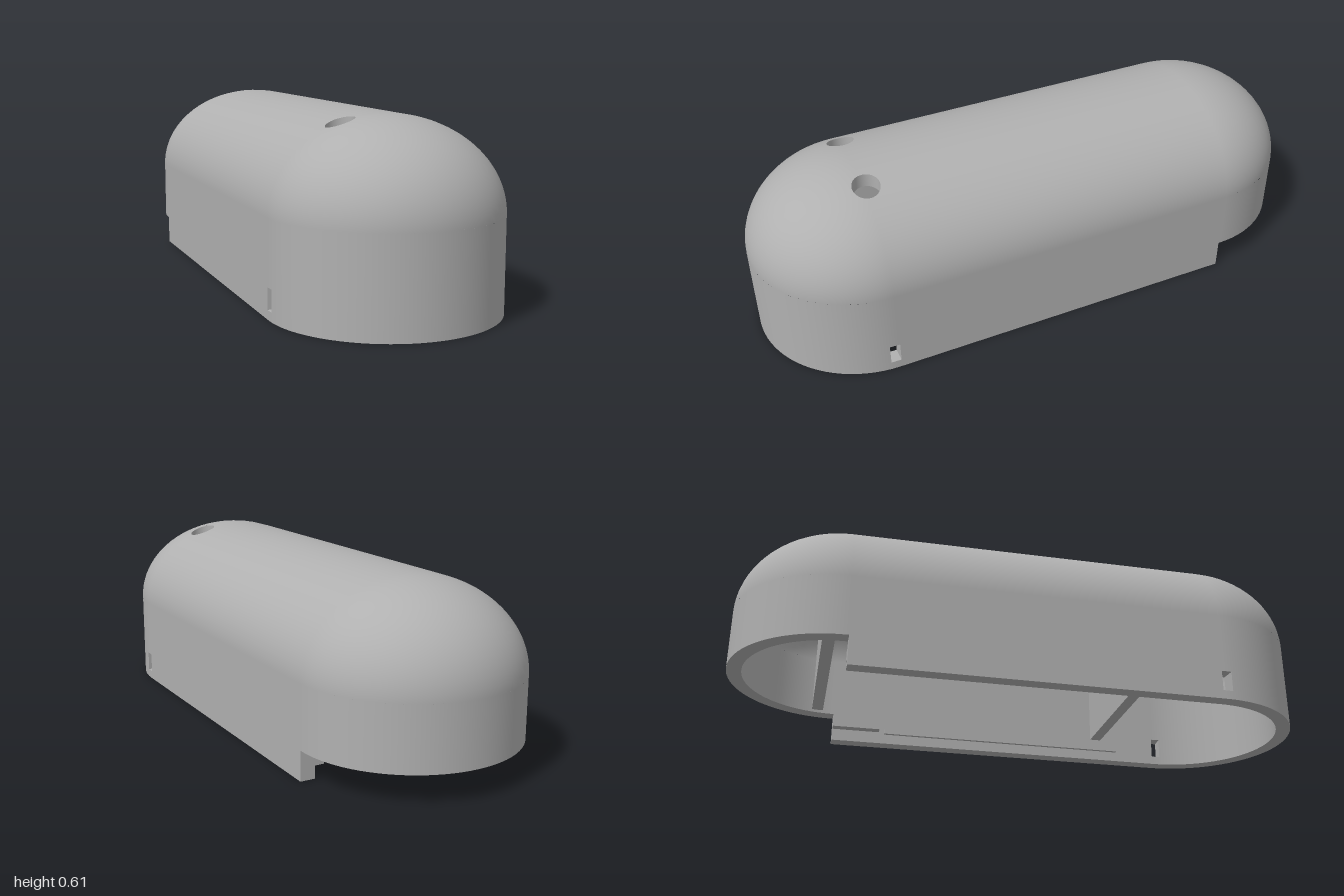
import * as THREE from 'three';

const R = 0.375, H = 0.30;      // outer radius and dome height
const RI = 0.325, HI = 0.255;   // inner radius and dome height
const Y0 = 0.31, C = 0.625;     // wall top, centre of the round ends
const HOLES = [-0.14, 0.14], HOLE_Z = 0.615, HOLE_R = 0.046;
const NOTCH_Z = -0.62, NOTCH_Y = 0.1;

const V = (x, y, z) => new THREE.Vector3(x, y, z);

// Collects quads with smooth normals; corners are ordered to agree with the normals
class Quads {
  constructor() { this.pos = []; this.nor = []; }
  tri(p, n) {
    const face = p[1].clone().sub(p[0]).cross(p[2].clone().sub(p[0]));
    if (face.length() < 1e-10) return;
    const sum = n[0].clone().add(n[1]).add(n[2]);
    const order = face.dot(sum) < 0 ? [0, 2, 1] : [0, 1, 2];
    for (const i of order) {
      this.pos.push(...p[i].toArray());
      this.nor.push(...n[i].toArray());
    }
  }
  quad(p, n) {
    const m = Array.isArray(n) ? n : [n, n, n, n];
    this.tri([p[0], p[1], p[2]], [m[0], m[1], m[2]]);
    this.tri([p[0], p[2], p[3]], [m[0], m[2], m[3]]);
  }
  geometry() {
    const g = new THREE.BufferGeometry();
    g.setAttribute('position', new THREE.Float32BufferAttribute(this.pos, 3));
    g.setAttribute('normal', new THREE.Float32BufferAttribute(this.nor, 3));
    return g;
  }
}

const offEnd = z => z - THREE.MathUtils.clamp(z, -C, C);
const domeY = (x, z, r, h) => Y0 + h * Math.sqrt(Math.max(0, 1 - (x * x + offEnd(z) ** 2) / (r * r)));
const domeNormal = (p, r, h, side) =>
  V(p.x / (r * r), (p.y - Y0) / (h * h), offEnd(p.z) / (r * r)).normalize().multiplyScalar(side);

// Rounded roof skin with two round openings (side 1 = outside, -1 = inside)
function domeSkin(r, h, side) {
  const q = new Quads(), rows = [], cols = 36, caps = 16;
  for (let i = 0; i < caps; i++) rows.push([-C, -Math.PI / 2 * (1 - i / caps)]);
  for (const z of [-C, -0.3, 0, 0.3, 0.48, 0.55]) rows.push([z, 0]);
  for (let i = 0; i <= caps; i++) rows.push([C, Math.PI / 2 * i / caps]);
  const grid = rows.map(([z, psi]) => Array.from({ length: cols + 1 }, (_, i) => {
    const phi = Math.PI * (i / cols - 0.5);
    return V(r * Math.sin(phi), Y0 + h * Math.cos(phi) * Math.cos(psi), z + r * Math.cos(phi) * Math.sin(psi));
  }));
  const add = pts => q.quad(pts, pts.map(p => domeNormal(p, r, h, side)));
  const mid = cols / 2;
  const blocks = HOLES.map(hx => {
    const m = HOLE_R * 1.12;
    let i0 = 0, i1 = cols, j0 = 0, j1 = rows.length - 1;
    while (grid[caps][i0 + 1].x < hx - m) i0++;
    while (grid[caps][i1 - 1].x > hx + m) i1--;
    const near = hx > 0 ? Math.min(i1, cols) : Math.max(i0, 0);
    while (grid[j0 + 1][mid].z < HOLE_Z - m) j0++;
    while (grid[j1 - 1][near].z > HOLE_Z + m) j1--;
    return { hx, i0, i1, j0, j1 };
  });
  for (let j = 0; j < rows.length - 1; j++) for (let i = 0; i < cols; i++) {
    if (blocks.some(b => i >= b.i0 && i < b.i1 && j >= b.j0 && j < b.j1)) continue;
    add([grid[j][i], grid[j][i + 1], grid[j + 1][i + 1], grid[j + 1][i]]);
  }
  // Fill between each removed block and its round opening
  for (const { hx, i0, i1, j0, j1 } of blocks) {
    const loop = [];
    for (let i = i0; i < i1; i++) loop.push(grid[j0][i]);
    for (let j = j0; j < j1; j++) loop.push(grid[j][i1]);
    for (let i = i1; i > i0; i--) loop.push(grid[j1][i]);
    for (let j = j1; j > j0; j--) loop.push(grid[j][i0]);
    const fine = [];
    loop.forEach((p, k) => {
      const next = loop[(k + 1) % loop.length];
      for (let s = 0; s < 4; s++) fine.push(p.clone().lerp(next, s / 4));
    });
    const ring = fine.map(p => {
      const a = Math.atan2(p.z - HOLE_Z, p.x - hx);
      const x = hx + HOLE_R * Math.cos(a), z = HOLE_Z + HOLE_R * Math.sin(a);
      return V(x, domeY(x, z, r, h), z);
    });
    fine.forEach((p, k) => {
      const n = (k + 1) % fine.length;
      add([p, fine[n], ring[n], ring[k]]);
    });
  }
  return q.geometry();
}

// Bore through the roof thickness
function boreGeometry(hx) {
  const q = new Quads(), n = 40;
  const at = (k, r, h) => {
    const a = k / n * Math.PI * 2, x = hx + HOLE_R * Math.cos(a), z = HOLE_Z + HOLE_R * Math.sin(a);
    return V(x, domeY(x, z, r, h), z);
  };
  const nor = k => V(-Math.cos(k / n * Math.PI * 2), 0, -Math.sin(k / n * Math.PI * 2));
  for (let k = 0; k < n; k++)
    q.quad([at(k, R, H), at(k + 1, R, H), at(k + 1, RI, HI), at(k, RI, HI)], [nor(k), nor(k + 1), nor(k + 1), nor(k)]);
  return q.geometry();
}

// Half of the upright wall, with the rear step and the side slot
function wallGeometry(m) {
  const q = new Quads(), st = [], steps = 20, slotA = Math.asin(0.03 / R);
  const station = (cz, a) => st.push({ cz, n: V(m * Math.cos(a), 0, Math.sin(a)) });
  for (let i = 0; i <= steps; i++) station(-C, -Math.PI / 2 * (1 - i / steps));
  station(NOTCH_Z, 0); station(0.62, 0); station(C, 0);
  for (let i = 0; i <= steps; i++) station(C, slotA + (Math.PI / 2 - slotA) * i / steps);
  const pt = (s, r, y) => V(s.n.x * r, y, s.cz + s.n.z * r);
  const cap = (s, y0, y1, n) => q.quad([pt(s, R, y0), pt(s, RI, y0), pt(s, RI, y1), pt(s, R, y1)], n);
  for (let i = 0; i < st.length - 1; i++) {
    const a = st[i], b = st[i + 1], zm = (pt(a, R, 0).z + pt(b, R, 0).z) / 2;
    const slot = zm > 0.62 && zm < 0.655;
    const spans = zm < NOTCH_Z ? [[NOTCH_Y, Y0]] : slot ? [[0, 0.03], [0.1, Y0]] : [[0, Y0]];
    for (const [y0, y1] of spans) {
      for (const [r, s] of [[R, 1], [RI, -1]]) {
        const na = a.n.clone().multiplyScalar(s), nb = b.n.clone().multiplyScalar(s);
        q.quad([pt(a, r, y0), pt(b, r, y0), pt(b, r, y1), pt(a, r, y1)], [na, nb, nb, na]);
      }
      const level = (y, n) => q.quad([pt(a, R, y), pt(b, R, y), pt(b, RI, y), pt(a, RI, y)], n);
      level(y0, V(0, -1, 0));
      if (y1 < Y0) level(y1, V(0, 1, 0));
    }
  }
  cap(st[steps + 1], 0, NOTCH_Y, V(0, 0, -1));
  cap(st[steps + 2], 0.03, 0.1, V(0, 0, 1));
  cap(st[steps + 4], 0.03, 0.1, V(0, 0, -1));
  return q.geometry();
}

// Arch outline used by the inner walls and rib
function archPoints(w, h, bottom) {
  const pts = [new THREE.Vector2(w, bottom)];
  for (let i = 0; i <= 32; i++) {
    const a = Math.PI * i / 32;
    pts.push(new THREE.Vector2(w * Math.cos(a), Y0 + h * Math.sin(a)));
  }
  pts.push(new THREE.Vector2(-w, bottom));
  return pts;
}
const slab = (pts, depth) => new THREE.ExtrudeGeometry(new THREE.Shape(pts), { depth, bevelEnabled: false });

export function createModel() {
  const group = new THREE.Group();
  const grey = new THREE.MeshStandardMaterial({ color: 0xb0b0b0 });
  grey.name = 'grey plastic';
  const add = (name, geo, x = 0, y = 0, z = 0) => {
    const mesh = new THREE.Mesh(geo, grey);
    mesh.name = name;
    mesh.position.set(x, y, z);
    group.add(mesh);
    return mesh;
  };

  // Hollow cover
  add('outerRoof', domeSkin(R, H, 1));
  add('innerRoof', domeSkin(RI, HI, -1));
  HOLES.forEach(hx => add('roofHole', boreGeometry(hx)));

  for (const m of [1, -1]) {
    add(m > 0 ? 'leftWall' : 'rightWall', wallGeometry(m));
    // Thin lip and catch on the inside of each long wall
    add('innerLip', new THREE.BoxGeometry(0.014, 0.02, 0.9), m * 0.32, 0.045, 0.02);
    add('rearCatch', new THREE.BoxGeometry(0.035, 0.035, 0.17), m * 0.31, 0.06, -0.535);
  }

  // Inner cross walls
  add('frontBulkhead', slab(archPoints(0.328, 0.258, 0.08), 0.04), 0, 0, 0.37);
  add('rearBulkhead', slab(archPoints(0.32, 0.248, 0.11), 0.04), 0, 0, -0.7);

  // Arched rib
  add('archRib', slab([...archPoints(0.33, 0.26, 0.28), ...archPoints(0.295, 0.222, 0.28).reverse()], 0.04), 0, 0, 0.08);

  // Level shelf under the roof holes
  const shelf = [new THREE.Vector2(0.322, -0.61)];
  for (let i = 0; i <= 32; i++) {
    const a = Math.PI * i / 32;
    shelf.push(new THREE.Vector2(0.322 * Math.cos(a), -C - 0.322 * Math.sin(a)));
  }
  shelf.push(new THREE.Vector2(-0.322, -0.61));
  add('frontShelf', slab(shelf, 0.03), 0, 0.35, 0).rotation.x = -Math.PI / 2;
  return group;
}
